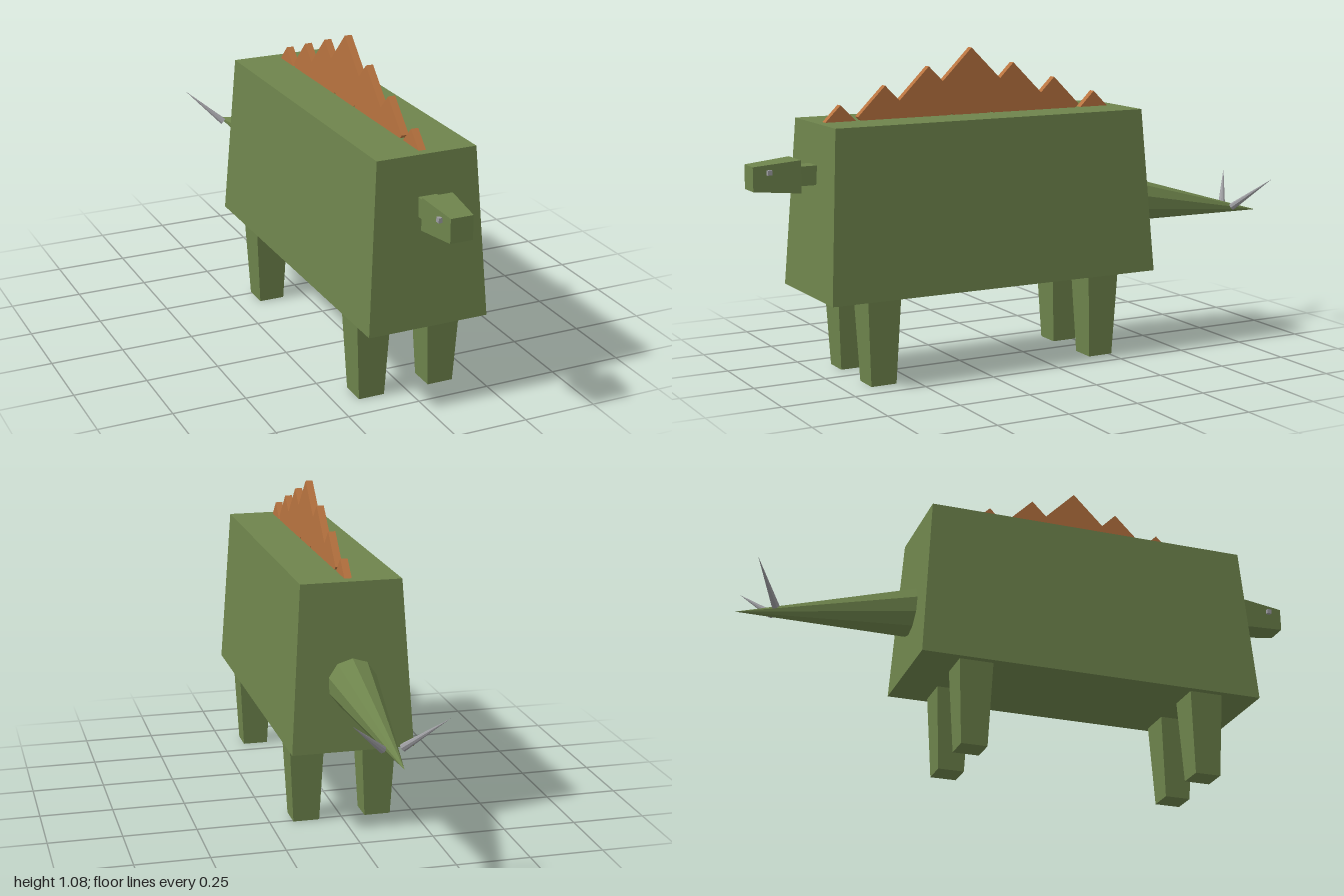
import * as THREE from 'three';

const green = new THREE.MeshStandardMaterial({ color: 0x6e844c });
const orange = new THREE.MeshStandardMaterial({ color: 0xb8733f });
const grey = new THREE.MeshStandardMaterial({ color: 0x9c9ca0 });
green.name = 'skin green';
orange.name = 'plate orange';
grey.name = 'horn grey';
for (const m of [green, orange, grey]) m.flatShading = true;

function add(group, name, geometry, material, x = 0, y = 0, z = 0) {
  const mesh = new THREE.Mesh(geometry, material);
  mesh.name = name;
  mesh.position.set(x, y, z);
  group.add(mesh);
  return mesh;
}

// Box of height h whose bottom is w0 x d0 and top is w1 x d1
function taperedBox(w0, d0, w1, d1, h) {
  const g = new THREE.BoxGeometry(1, h, 1);
  const p = g.attributes.position;
  for (let i = 0; i < p.count; i++) {
    const top = p.getY(i) > 0;
    p.setX(i, p.getX(i) * (top ? w1 : w0));
    p.setZ(i, p.getZ(i) * (top ? d1 : d0));
  }
  g.computeVertexNormals();
  return g;
}

// Cone running from a base centre to a tip
function coneBetween(group, name, base, tip, radius, sides, material) {
  const dir = tip.clone().sub(base);
  const mid = base.clone().add(tip).multiplyScalar(0.5);
  const mesh = add(group, name, new THREE.ConeGeometry(radius, dir.length(), sides), material, mid.x, mid.y, mid.z);
  mesh.quaternion.setFromUnitVectors(new THREE.Vector3(0, 1, 0), dir.normalize());
}

export function createModel() {
  const model = new THREE.Group();
  model.name = 'platedDinosaur';

  // Body, narrower at the top
  add(model, 'body', taperedBox(0.415, 1.213, 0.342, 1.143, 0.566), green, 0, 0.573, 0.198);

  // Legs, narrower at the feet
  for (const side of [1, -1]) {
    for (const [end, z] of [['front', 0.613], ['rear', -0.215]]) {
      add(model, `${end}${side > 0 ? 'Left' : 'Right'}Leg`,
        taperedBox(0.09, 0.09, 0.12, 0.117, 0.292), green, side * 0.125, 0.146, z);
    }
  }

  // Neck and head, narrowing to the muzzle
  add(model, 'neck', new THREE.BoxGeometry(0.064, 0.064, 0.12), green, 0, 0.69, 0.8);
  const head = add(model, 'head', taperedBox(0.106, 0.108, 0.077, 0.08, 0.158), green, 0, 0.692, 0.92);
  head.rotation.x = Math.PI / 2;

  // Eyes
  for (const side of [1, -1]) {
    add(model, side > 0 ? 'leftEye' : 'rightEye',
      new THREE.BoxGeometry(0.014, 0.016, 0.016), grey, side * 0.048, 0.712, 0.947);
  }

  // Row of square back plates standing on their corners, tallest in the middle
  for (let i = -3; i <= 3; i++) {
    const step = 3 - Math.abs(i);
    const half = 0.075 + step * 0.0237;
    const edge = half * Math.SQRT2;
    const peak = 0.91 + step * 0.0567;
    const plate = add(model, 'backPlate', new THREE.BoxGeometry(0.025, edge, edge), orange,
      0, peak - half, 0.204 + i * 0.16);
    plate.rotation.x = Math.PI / 4;
  }

  // Tail and its pair of spikes
  coneBetween(model, 'tail', new THREE.Vector3(0, 0.518, -0.38),
    new THREE.Vector3(0, 0.428, -0.99), 0.086, 10, green);
  for (const side of [1, -1]) {
    coneBetween(model, side > 0 ? 'leftTailSpike' : 'rightTailSpike',
      new THREE.Vector3(side * 0.032, 0.452, -0.862),
      new THREE.Vector3(side * 0.152, 0.565, -0.953), 0.013, 8, grey);
  }
  return model;
}
